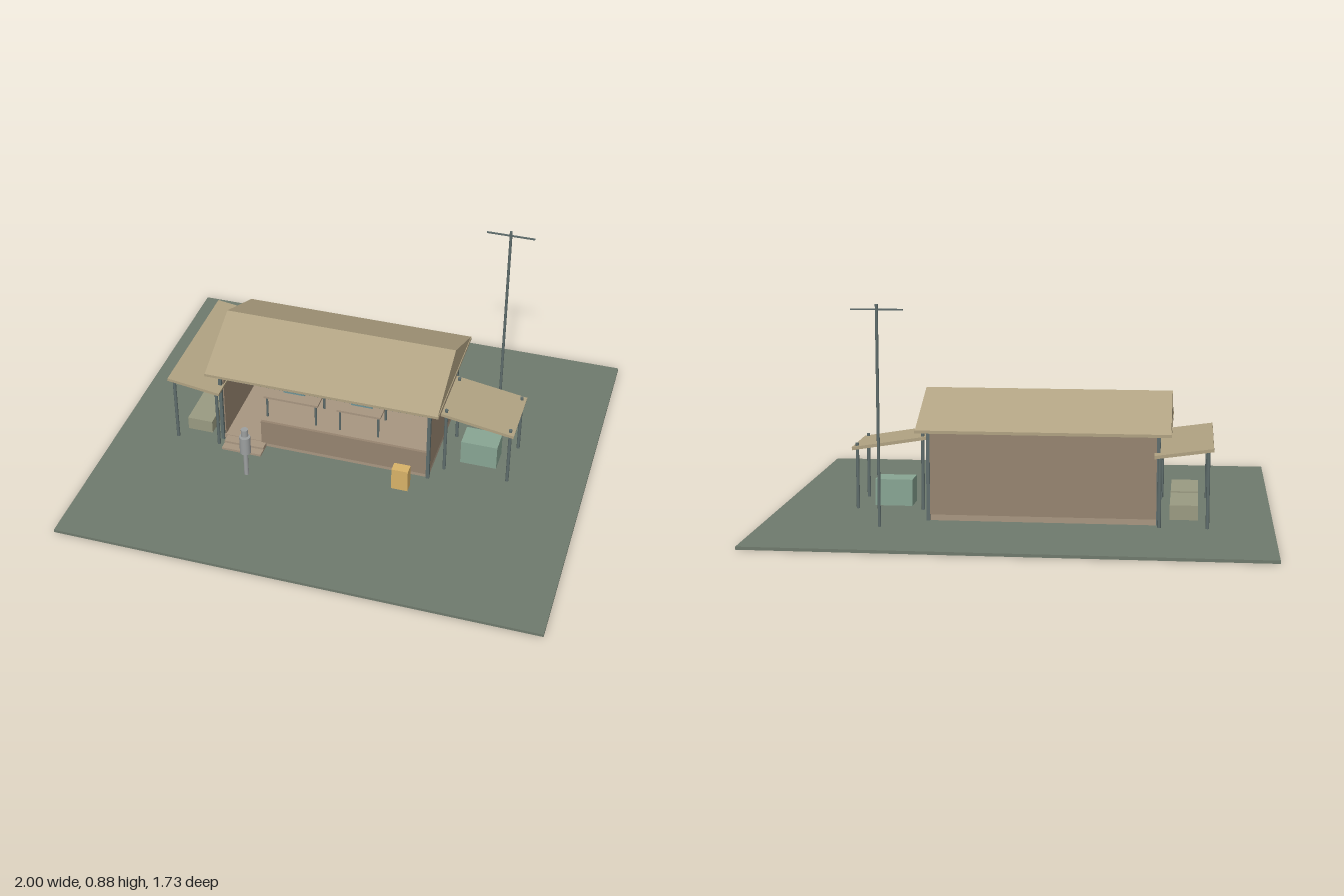
import * as THREE from 'three';

const paint = (color) => new THREE.MeshStandardMaterial({ color });
const MAT = {
  ground: paint(0x6f7a6d), wall: paint(0x968470), base: paint(0xa89681), roof: paint(0xb0a282),
  post: paint(0x5f6d6c), cot: paint(0x9a9b82), crate: paint(0x88a593), yellow: paint(0xd8b268),
  screen: paint(0x6f9496), grey: paint(0x9da0a0),
};

export function createModel() {
  const root = new THREE.Group();

  const add = (name, geometry, mat, parent = root) => {
    const mesh = new THREE.Mesh(geometry, mat);
    mesh.name = name;
    parent.add(mesh);
    return mesh;
  };
  // Box given by its extents along each axis
  const box = (name, mat, [x0, x1], [y0, y1], [z0, z1], parent = root) => {
    const mesh = add(name, new THREE.BoxGeometry(x1 - x0, y1 - y0, z1 - z0), mat, parent);
    mesh.position.set((x0 + x1) / 2, (y0 + y1) / 2, (z0 + z1) / 2);
    return mesh;
  };
  // Upright cylinder
  const rod = (name, mat, x, z, r, y0, y1, parent = root, sides = 12) => {
    const mesh = add(name, new THREE.CylinderGeometry(r, r, y1 - y0, sides), mat, parent);
    mesh.position.set(x, (y0 + y1) / 2, z);
    return mesh;
  };
  const group = (name) => {
    const g = new THREE.Group();
    g.name = name;
    root.add(g);
    return g;
  };

  box('ground', MAT.ground, [-1, 1], [0, 0.012], [-0.865, 0.865]);

  // Building shell: open front above a low counter wall, doorway on one side
  const house = group('building');
  box('floor', MAT.base, [-0.55, 0.36], [0.012, 0.035], [-0.365, 0.12], house);
  box('backWall', MAT.wall, [-0.55, 0.36], [0.035, 0.37], [-0.365, -0.35], house);
  box('leftWall', MAT.wall, [0.348, 0.36], [0.035, 0.37], [-0.355, 0.115], house);
  box('rightWall', MAT.wall, [-0.55, -0.538], [0.035, 0.37], [-0.355, 0.115], house);
  box('counterWall', MAT.wall, [-0.375, 0.355], [0.03, 0.145], [0.112, 0.124], house);
  box('frontBeam', MAT.post, [-0.55, 0.36], [0.33, 0.37], [0.108, 0.122], house);
  for (const x of [-0.55, 0.358])
    for (const z of [-0.362, 0.12])
      box('cornerPost', MAT.post, [x - 0.007, x + 0.007], [0.012, 0.37], [z - 0.008, z + 0.008], house);
  box('lowerStep', MAT.base, [-0.53, -0.355], [0.012, 0.022], [0.12, 0.195], house);
  box('upperStep', MAT.base, [-0.53, -0.355], [0.022, 0.032], [0.12, 0.16], house);

  // Gable roof on a thin eave slab
  box('eaveSlab', MAT.roof, [-0.6, 0.405], [0.368, 0.38], [-0.41, 0.168], house);
  const gable = new THREE.Shape([
    new THREE.Vector2(-0.168, 0.38), new THREE.Vector2(0.41, 0.38), new THREE.Vector2(0.121, 0.51),
  ]);
  const roof = add('gableRoof', new THREE.ExtrudeGeometry(gable, { depth: 1.0, bevelEnabled: false }), MAT.roof, house);
  roof.rotation.y = Math.PI / 2;
  roof.position.x = -0.598;

  // Desks with screens inside
  for (const [x, w] of [[-0.297, 0.245], [0.008, 0.195]]) {
    const desk = group('desk');
    box('deskTop', MAT.base, [x - w / 2, x + w / 2], [0.138, 0.148], [-0.18, -0.04], desk);
    for (const s of [-1, 1])
      for (const z of [-0.17, -0.05])
        rod('deskLeg', MAT.post, x + s * (w / 2 - 0.012), z, 0.005, 0.035, 0.138, desk, 8);
    box('screen', MAT.screen, [x - 0.048, x + 0.048], [0.148, 0.206], [-0.11, -0.09], desk);
  }

  // Sloping awnings on four posts
  const awning = (name, [x0, y0], [x1, y1], [z0, z1], postXs, postZs, rise) => {
    const g = group(name);
    const len = Math.hypot(x1 - x0, y1 - y0);
    const panel = add('awningPanel', new THREE.BoxGeometry(len, 0.013, z1 - z0), MAT.roof, g);
    panel.position.set((x0 + x1) / 2, (y0 + y1) / 2, (z0 + z1) / 2);
    panel.rotation.z = Math.atan2(y1 - y0, x1 - x0);
    for (const x of postXs) {
      const top = y0 + ((y1 - y0) * (x - x0)) / (x1 - x0) + rise;
      for (const z of postZs) rod('awningPost', MAT.post, x, z, 0.007, 0.012, top, g);
    }
  };
  awning('rightAwning', [-0.763, 0.325], [-0.535, 0.293], [-0.425, 0.182], [-0.742, -0.555], [-0.402, 0.16], -0.005);
  awning('leftAwning', [0.392, 0.312], [0.698, 0.263], [-0.202, 0.067], [0.41, 0.68], [-0.18, 0.045], 0.018);

  // Cots under the long awning
  for (const [z0, z1] of [[-0.37, -0.135], [-0.105, 0.13]]) {
    const cot = group('cot');
    box('cotBed', MAT.cot, [-0.705, -0.595], [0.037, 0.095], [z0, z1], cot);
  }

  // Loose containers
  box('tealCrate', MAT.crate, [0.465, 0.62], [0.012, 0.122], [-0.12, -0.015]);
  box('yellowBox', MAT.yellow, [0.23, 0.3], [0.012, 0.113], [0.185, 0.23]);

  // Standing figure made of three cylinders
  const figure = group('figure');
  rod('legs', MAT.grey, -0.375, 0.315, 0.01, 0.012, 0.13, figure, 16);
  rod('torso', MAT.grey, -0.375, 0.315, 0.023, 0.13, 0.212, figure, 16);
  rod('head', MAT.grey, -0.375, 0.315, 0.015, 0.218, 0.25, figure, 16);

  // Antenna mast with crossbar
  const mast = group('mast');
  rod('mastPole', MAT.post, 0.53, -0.495, 0.006, 0.012, 0.882, mast);
  box('mastCrossbar', MAT.post, [0.428, 0.632], [0.859, 0.865], [-0.498, -0.492], mast);

  return root;
}
